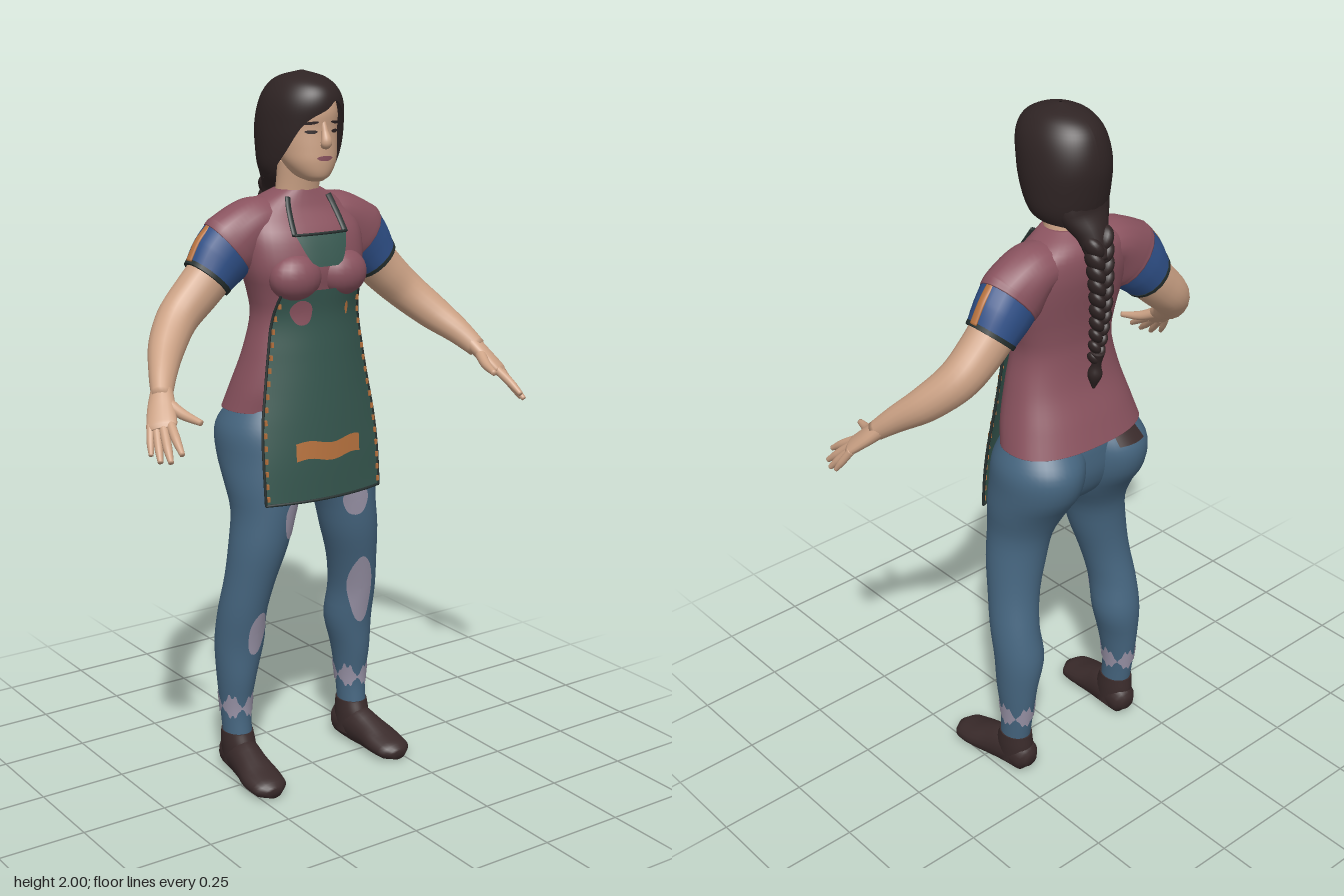
import * as THREE from 'three';

const mat = (name, color) => Object.assign(new THREE.MeshStandardMaterial({ color, side: THREE.DoubleSide }), { name });
const M = {
  skin: mat('skin', 0xcda386), hair: mat('dark hair', 0x2f2424), shoe: mat('shoe leather', 0x3a2b2b),
  shirt: mat('maroon shirt', 0x8a535f), sleeve: mat('blue sleeve', 0x2f5088), denim: mat('denim', 0x466680),
  worn: mat('worn patch', 0x9a94a8), apron: mat('green apron', 0x36574f), orange: mat('orange trim', 0xb8733f),
  dark: mat('dark binding', 0x26302f),
};
const V = (x, y, z) => new THREE.Vector3(x, y, z);

// Grid of points (rows of rings or strips) to a smooth mesh
function skin(name, grid, material, closed, caps) {
  const w = grid[0].length, pts = grid.flat(), index = [];
  for (let i = 0; i < grid.length - 1; i++)
    for (let j = 0; j < (closed ? w : w - 1); j++) {
      const k = (j + 1) % w, a = i * w + j, b = i * w + k, c = a + w, d = b + w;
      index.push(a, b, c, b, d, c);
    }
  if (caps) [0, grid.length - 1].forEach((r) => {
    const mid = grid[r].reduce((s, p) => s.add(p), V(0, 0, 0)).divideScalar(w);
    const m = pts.push(mid) - 1;
    for (let j = 0; j < w; j++) {
      const a = r * w + j, b = r * w + (j + 1) % w;
      r ? index.push(a, b, m) : index.push(b, a, m);
    }
  });
  const g = new THREE.BufferGeometry().setFromPoints(pts);
  g.setIndex(index);
  g.computeVertexNormals();
  const mesh = new THREE.Mesh(g, material);
  mesh.name = name;
  return mesh;
}

// Smooth lookup in a table whose first column increases
function at(rows, y) {
  let i = 0;
  while (i < rows.length - 2 && y > rows[i + 1][0]) i++;
  const p = rows[Math.max(i - 1, 0)], a = rows[i], b = rows[i + 1], q = rows[Math.min(i + 2, rows.length - 1)];
  const h = b[0] - a[0], t = Math.min(Math.max((y - a[0]) / h, 0), 1), t2 = t * t, t3 = t2 * t;
  return a.map((v, k) => {
    const m0 = (b[k] - p[k]) / (b[0] - p[0]) * h, m1 = (q[k] - v) / (q[0] - a[0]) * h;
    return (2 * t3 - 3 * t2 + 1) * v + (t3 - 2 * t2 + t) * m0 + (3 * t2 - 2 * t3) * b[k] + (t3 - t2) * m1;
  }).slice(1);
}

// Body sections: [y, centre x, half width, front z, back z]
function onBody(rows, y, a, n = 2, off = 0) {
  const [cx, w, f, b] = at(rows, y), pw = (v) => Math.sign(v) * Math.abs(v) ** (2 / n);
  return V(cx + (w + off) * pw(Math.sin(a)), y, (f + b) / 2 + ((f - b) / 2 + off) * pw(Math.cos(a)));
}
function frontZ(rows, x, y, n = 2) {
  const [cx, w, f, b] = at(rows, y);
  return (f + b) / 2 + (f - b) / 2 * Math.max(0, 1 - Math.abs((x - cx) / w) ** n) ** (1 / n);
}
const steps = (n, fn) => Array.from({ length: n + 1 }, (_, i) => fn(i / n));
function loft(name, rows, material, n = 2, seg = 40, layers = 48) {
  const y0 = rows[0][0], y1 = rows[rows.length - 1][0];
  const grid = steps(layers, (t) => steps(seg - 1, (u) =>
    onBody(rows, y0 + (y1 - y0) * (1 - Math.cos(t * Math.PI)) / 2, u * Math.PI * 2 * (seg - 1) / seg, n)));
  return skin(name, grid, material, true, true);
}
const sheet = (name, nu, nv, fn, material) => skin(name, steps(nv, (v) => steps(nu, (u) => fn(u, v))), material, false, false);
const disc = (name, x, y, rx, ry, tilt, zAt, material) => sheet(name, 24, 5, (u, v) => {
  const a = u * Math.PI * 2, wob = 1 + 0.08 * Math.sin(3 * a), p = rx * v * wob * Math.cos(a), q = ry * v * Math.sin(a);
  const px = x + p * Math.cos(tilt) - q * Math.sin(tilt), py = y + p * Math.sin(tilt) + q * Math.cos(tilt);
  return V(px, py, zAt(px, py) + 0.004);
}, material);

// Swept limb: rows [x, y, z, radius across, radius along ref]
function limb(name, rows, material, ref = V(0, 0, 1), seg = 18, layers = 24) {
  const pos = new THREE.CatmullRomCurve3(rows.map((r) => V(...r)));
  const rad = new THREE.CatmullRomCurve3(rows.map((r) => V(r[3], r[4] ?? r[3], 0)));
  const grid = steps(layers, (t) => {
    const c = pos.getPoint(t), r = rad.getPoint(t), d = pos.getTangent(t);
    const s = d.clone().cross(ref).normalize(), b = d.clone().cross(s);
    return steps(seg - 1, (u) => {
      const a = u * Math.PI * 2 * (seg - 1) / seg;
      const p = c.clone().addScaledVector(s, r.x * Math.cos(a)).addScaledVector(b, r.y * Math.sin(a));
      p.y = Math.max(p.y, 0);
      return p;
    });
  });
  return skin(name, grid, material, true, true);
}
function ball(name, material, p, r, tilt = 0) {
  const m = new THREE.Mesh(new THREE.SphereGeometry(1, 20, 14), material);
  m.name = name; m.position.set(...p); m.scale.set(...r); m.rotation.z = tilt;
  return m;
}

const TORSO = [[1.085, 0, .217, .03, -.222], [1.15, 0, .2, .045, -.2], [1.25, 0, .172, .045, -.165], [1.35, 0, .15, .04, -.152],
  [1.42, 0, .163, .05, -.157], [1.47, 0, .178, .06, -.165], [1.53, 0, .186, .052, -.176], [1.58, 0, .183, .035, -.182],
  [1.63, 0, .16, .0, -.178], [1.66, 0, .115, -.012, -.162], [1.685, 0, .066, -.02, -.13]];
const PELVIS = [[.86, 0, .08, 0, -.1], [.9, 0, .16, .04, -.16], [.97, 0, .215, .05, -.195], [1.05, 0, .215, .04, -.2], [1.12, 0, .2, .03, -.19]];
const LEG = [[.11, .203, .04, -.04, -.135], [.2, .203, .043, -.045, -.148], [.3, .2, .055, -.03, -.16], [.4, .19, .07, -.02, -.168],
  [.5, .19, .068, 0, -.15], [.6, .175, .072, .022, -.132], [.7, .155, .083, .045, -.13], [.8, .137, .09, .055, -.142],
  [.88, .122, .113, .058, -.18], [.95, .118, .118, .055, -.225], [1.03, .115, .118, .045, -.235], [1.1, .1, .1, .02, -.19]];
const HEAD = [[1.712, 0, .02, .035, -.01], [1.725, 0, .045, .05, -.05], [1.76, 0, .071, .058, -.09], [1.8, 0, .083, .058, -.13],
  [1.85, 0, .09, .056, -.16], [1.9, 0, .09, .058, -.17], [1.95, 0, .07, .035, -.14], [1.98, 0, .02, -.02, -.08]];
const HAIR = [[1.7, 0, .08, 0, -.165], [1.74, 0, .106, .025, -.178], [1.8, 0, .115, .052, -.19], [1.86, 0, .115, .067, -.196],
  [1.92, 0, .105, .075, -.185], [1.96, 0, .084, .058, -.162], [1.985, 0, .054, .015, -.12], [2, 0, .003, -.045, -.055]];
// Hair edge height by angle from the front, parted on the left
const HAIRLINE = [[-3.15, 1.7], [-2.2, 1.71], [-1.25, 1.735], [-.95, 1.78], [-.55, 1.865], [0, 1.905], [.3, 1.925], [.65, 1.885],
  [.95, 1.8], [1.25, 1.735], [2.2, 1.71], [3.15, 1.7]];
// Apron: [y, half width, middle z, edge z]
const APRON = [[.84, .19, .085, .055], [.95, .19, .086, .045], [1.05, .185, .082, .032], [1.15, .17, .075, .022],
  [1.25, .155, .066, .015], [1.35, .14, .058, .014], [1.425, .125, .066, .042]];
const apronZ = (x, y) => { const [w, c, e] = at(APRON, y); return c - (c - e) * (x / w) ** 2; };
const torsoZ = (x, y) => frontZ(TORSO, x, y, 2.4);

export function createModel() {
  const model = new THREE.Group();
  const group = (name, ...parts) => { const g = new THREE.Group(); g.name = name; g.add(...parts); model.add(g); return g; };

  group('shirt', loft('shirtBody', TORSO, M.shirt, 2.4), ...[1, -1].map((s) => ball('bust', M.shirt, [s * .075, 1.46, .028], [.078, .065, .057])));
  group('hips', loft('seatOfJeans', PELVIS, M.denim));

  for (const s of [1, -1]) {
    const side = s > 0 ? 'left' : 'right', flip = (rows) => rows.map(([x, ...r]) => [x * s, ...r]);
    const part = (name, rows, m, ref) => limb(name, flip(rows), m, ref);

    // Leg, frayed ankle and shoe
    const leg = LEG.map(([y, x, ...r]) => [y, x * s, ...r]);
    group(side + 'Leg', loft('trouserLeg', leg, M.denim),
      sheet('frayedAnkle', 72, 4, (u, v) => {
        const a = u * Math.PI * 2, k = Math.abs(Math.sin(2.5 * a + .6)), j = .8 + .2 * Math.sin(17 * a);
        return onBody(leg, .21 + k * j * (v * .085 - .035), a, 2, .003);
      }, M.worn));
    group(side + 'Shoe',
      part('shoeBody', [[.197, .045, -.153, .02, .02], [.198, .05, -.13, .042, .05], [.203, .055, -.06, .046, .06], [.21, .045, 0, .05, .05],
        [.216, .034, .06, .058, .036], [.218, .026, .11, .052, .028], [.218, .02, .136, .022, .016]], M.shoe, V(0, 1, 0)),
      loft('shoeCollar', [[.03, .2 * s, .044, -.02, -.145], [.09, .202 * s, .046, -.025, -.146], [.13, .203 * s, .044, -.038, -.142]], M.shoe));

    // Arm and sleeve
    group(side + 'Arm',
      part('shoulder', [[.07, 1.605, -.09, .06, .075], [.14, 1.595, -.09, .072, .079], [.2, 1.545, -.09, .096, .075], [.215, 1.532, -.092, .094, .073]], M.shirt),
      part('sleeve', [[.2, 1.547, -.09, .094, .073], [.24, 1.505, -.095, .087, .07], [.277, 1.46, -.096, .073, .066]], M.sleeve),
      part('cuffBinding', [[.272, 1.466, -.096, .076, .068], [.28, 1.457, -.096, .074, .067]], M.dark),
      part('sleeveStripe', [[.267, 1.604, -.092, .005, .012], [.303, 1.562, -.096, .006, .012], [.332, 1.511, -.096, .005, .012]], M.orange),
      part('arm', [[.25, 1.485, -.095, .068, .06], [.31, 1.425, -.095, .064, .058], [.375, 1.365, -.085, .058, .055],
        [.44, 1.3, -.035, .051, .047], [.49, 1.245, .03, .038, .035], [.522, 1.2, .08, .028, .026]], M.skin));

    // Hand
    const fingers = [
      [[.535, 1.155, .14, .013], [.548, 1.12, .195, .012], [.555, 1.09, .238, .007]],
      [[.553, 1.145, .14, .013], [.57, 1.1, .19, .012], [.58, 1.07, .224, .007]],
      [[.567, 1.14, .13, .012], [.584, 1.095, .17, .011], [.594, 1.066, .195, .007]],
      [[.577, 1.145, .117, .011], [.592, 1.105, .142, .01], [.601, 1.077, .16, .006]],
      [[.52, 1.195, .09, .017], [.5, 1.168, .145, .014], [.481, 1.155, .207, .008]]];
    group(side + 'Hand',
      part('palm', [[.51, 1.22, .06, .028, .025], [.535, 1.18, .1, .037, .021], [.556, 1.145, .138, .04, .016], [.561, 1.136, .148, .03, .01]], M.skin, V(.47 * s, .76, .45)),
      ...fingers.map((f, i) => part(i < 4 ? 'finger' : 'thumb', f, M.skin, V(s, .3, 0).normalize())));
  }

  // Worn patches on the jeans
  const legZ = (x, y) => frontZ(LEG, Math.abs(x), y);
  group('wornPatches',
    disc('thighPatch', -.1, .785, .027, .058, -.1, legZ, M.worn), disc('thighPatch', .115, .805, .036, .045, 0, legZ, M.worn),
    disc('kneePatch', -.18, .445, .029, .066, -.15, legZ, M.worn), disc('kneePatch', .17, .51, .034, .112, .12, legZ, M.worn),
    sheet('backPatch', 10, 3, (u, v) => onBody(LEG.map(([y, x, ...r]) => [y, -x, ...r]), 1.05 + v * .045, Math.PI - .38 + u * .76, 2, .007), M.shoe));

  // Apron with binding, stitches, pocket strip and straps
  const apron = group('apron',
    sheet('apronSkirt', 24, 40, (u, v) => {
      const y = .84 + v * .585, x = (u * 2 - 1) * at(APRON, y)[0];
      return V(x, y, apronZ(x, y));
    }, M.apron),
    sheet('apronBib', 16, 8, (u, v) => {
      const x = (u * 2 - 1) * (.03 + .052 * Math.sqrt(v)), y = 1.49 + v * .085;
      return V(x, y, torsoZ(x, y) + .009 + .012 * (1 - v));
    }, M.apron),
    sheet('pocketStrip', 12, 2, (u, v) => {
      const x = -.105 + u * .21, y = .958 + v * .05 + .006 * Math.sin(u * 9);
      return V(x, y, apronZ(x, y) + .006);
    }, M.orange),
    disc('apronPatch', -.07, 1.365, .03, .035, .2, apronZ, M.shirt),
    disc('apronTab', .078, 1.365, .006, .018, 0, apronZ, M.orange),
    limb('hemBinding', steps(8, (t) => [-.19 + .38 * t, .841, apronZ(-.19 + .38 * t, .841), .004]), M.dark, V(0, 1, 0), 8),
    limb('bibBinding', steps(6, (t) => [-.083 + .166 * t, 1.574, torsoZ(-.083 + .166 * t, 1.574) + .01, .004]), M.dark, V(0, 1, 0), 8));
  for (const s of [1, -1]) {
    apron.add(limb('sideBinding', steps(12, (t) => { const y = .84 + t * .58, [w, , e] = at(APRON, y); return [s * w, y, e, .004]; }), M.dark, V(0, 0, 1), 8));
    apron.add(limb('strap', [[.082, 1.572], [.078, 1.61], [.072, 1.645], [.066, 1.668]].map(([x, y]) => [s * x, y, torsoZ(x, y) + .006, .009, .005]), M.dark, V(0, 0, 1), 8));
    for (let i = 0; i < 16; i++) {
      const y = .86 + i * .035, w = at(APRON, y)[0] - .006;
      const stitch = new THREE.Mesh(new THREE.BoxGeometry(.007, .014, .008), M.orange);
      stitch.name = 'stitch';
      stitch.position.set(s * w, y, apronZ(w, y) + .002);
      apron.add(stitch);
    }
  }

  // Head and face
  const faceZ = (x, y) => frontZ(HEAD, x, y);
  const head = group('head',
    loft('neck', [[1.6, 0, .075, -.03, -.14], [1.68, 0, .063, -.02, -.128], [1.76, 0, .06, -.005, -.12]], M.skin),
    loft('face', HEAD, M.skin),
    limb('nose', [[0, 1.872, .05, .007], [0, 1.845, .058, .01], [0, 1.817, .066, .016, .014], [0, 1.805, .058, .012, .01]], M.skin),
    disc('mouth', 0, 1.775, .024, .007, 0, faceZ, M.shirt));
  for (const s of [1, -1]) head.add(
    disc('eye', s * .037, 1.845, .015, .005, 0, faceZ, M.hair), disc('eyebrow', s * .04, 1.868, .021, .004, s * -.1, faceZ, M.hair));

  // Hair cap and braid
  const hair = group('hair',
    sheet('hairCap', 72, 30, (u, v) => {
      const a = (u * 2 - 1) * Math.PI, y0 = at(HAIRLINE, a)[0];
      return onBody(HAIR, y0 + (2 - y0) * Math.sin(v * Math.PI / 2), a);
    }, M.hair),
    limb('gatheredHair', [[0, 1.82, -.12, .085, .06], [0, 1.74, -.14, .08, .045], [0, 1.68, -.175, .045, .036], [0, 1.62, -.2, .03, .028]], M.hair),
    limb('braidTail', [[0, 1.36, -.2, .02], [0, 1.32, -.195, .013], [0, 1.29, -.19, .02], [0, 1.245, -.185, .004]], M.hair));
  for (let i = 0; i < 20; i++) {
    const t = i / 19, s = i % 2 ? 1 : -1, k = 1 - .45 * t;
    hair.add(ball('braidStrand', M.hair, [s * .017 * k, 1.675 - t * .335, -.192 - .016 * Math.sin(t * Math.PI)], [.022 * k, .036 * k, .033 * k], s * -.5));
  }
  return model;
}
